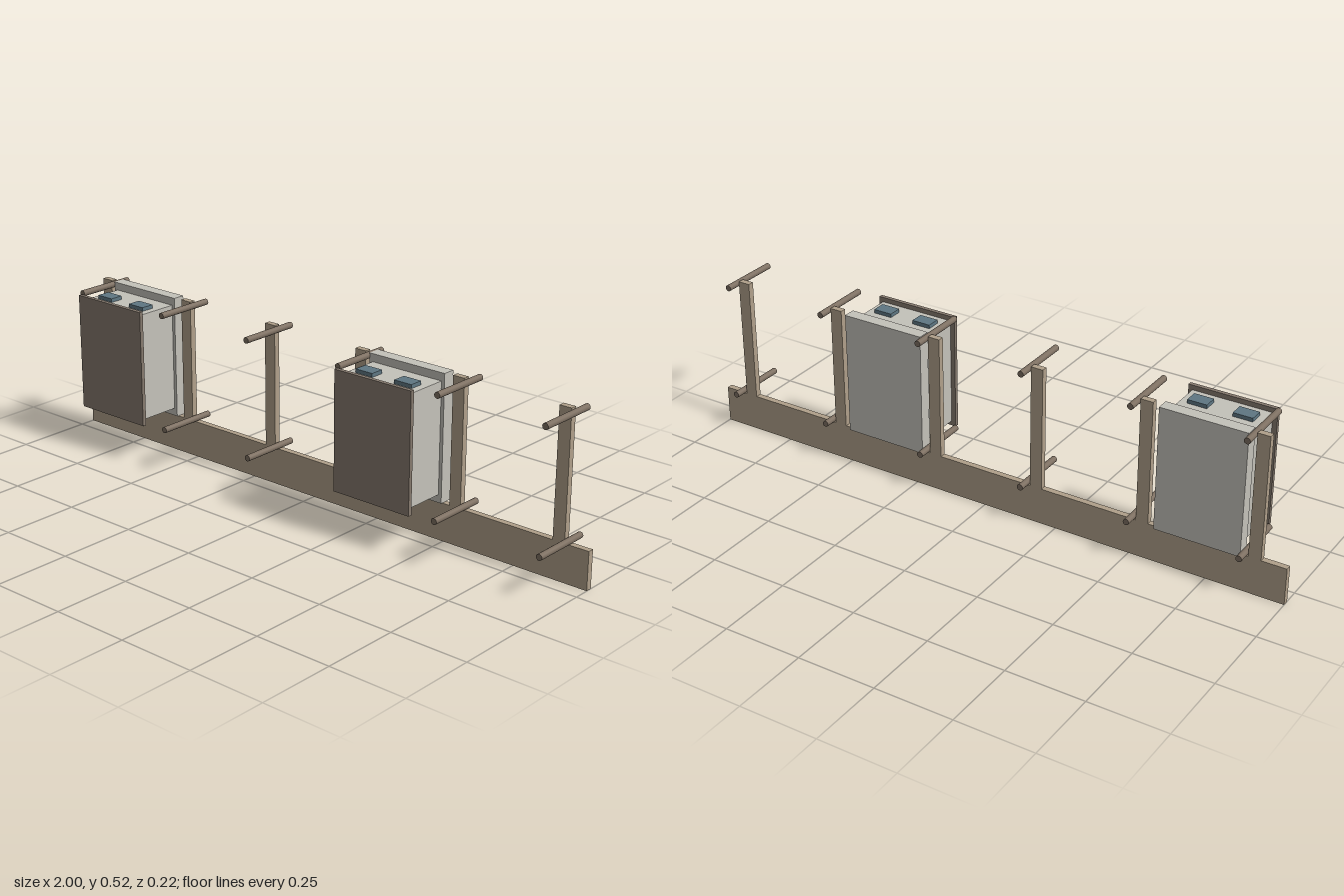
import * as THREE from 'three';

const mat = (name, color) => {
  const m = new THREE.MeshStandardMaterial({ color });
  m.name = name;
  return m;
};

export function createModel() {
  const wood = mat('light wood', 0xb0a08a);
  const darkWood = mat('dark wood', 0x7d6f61);
  const brown = mat('brown panel', 0x867a6e);
  const grey = mat('pale grey', 0xc4c2ba);
  const blue = mat('slate blue', 0x5f7783);

  const model = new THREE.Group();
  model.name = 'rackWithModules';

  // Box given by its extents on each axis
  const box = (parent, name, material, [x0, x1], [y0, y1], [z0, z1]) => {
    const mesh = new THREE.Mesh(new THREE.BoxGeometry(x1 - x0, y1 - y0, z1 - z0), material);
    mesh.position.set((x0 + x1) / 2, (y0 + y1) / 2, (z0 + z1) / 2);
    mesh.name = name;
    parent.add(mesh);
  };

  // Long base board
  box(model, 'baseBoard', wood, [-1, 1], [0, 0.12], [-0.07, -0.05]);

  // Six posts, each with an upper and a lower peg beside it
  const pegGeometry = new THREE.CylinderGeometry(0.01, 0.01, 0.2, 16).rotateX(Math.PI / 2);
  for (let i = 0; i < 6; i++) {
    const x = -0.9 + i * 0.36;
    box(model, 'post', wood, [x - 0.02, x + 0.02], [0.12, 0.52], [-0.07, -0.05]);
    for (const y of [0.13, 0.51]) {
      const peg = new THREE.Mesh(pegGeometry, darkWood);
      peg.name = 'peg';
      peg.position.set(x + 0.031, y, -0.01);
      model.add(peg);
    }
  }

  // Two modules: back plate, body, front panel and two top ports
  for (const x of [-0.724, 0.356]) {
    const module = new THREE.Group();
    module.name = 'module';
    module.position.x = x;
    box(module, 'backPlate', grey, [-0.138, 0.138], [0.12, 0.52], [-0.085, -0.045]);
    box(module, 'body', grey, [-0.125, 0.127], [0.145, 0.495], [-0.045, 0.097]);
    box(module, 'frontPanel', brown, [-0.14, 0.14], [0.13, 0.51], [0.097, 0.11]);
    for (const px of [-0.07, 0.072]) {
      box(module, 'port', blue, [px - 0.031, px + 0.031], [0.495, 0.507], [0.018, 0.062]);
    }
    model.add(module);
  }
  return model;
}
